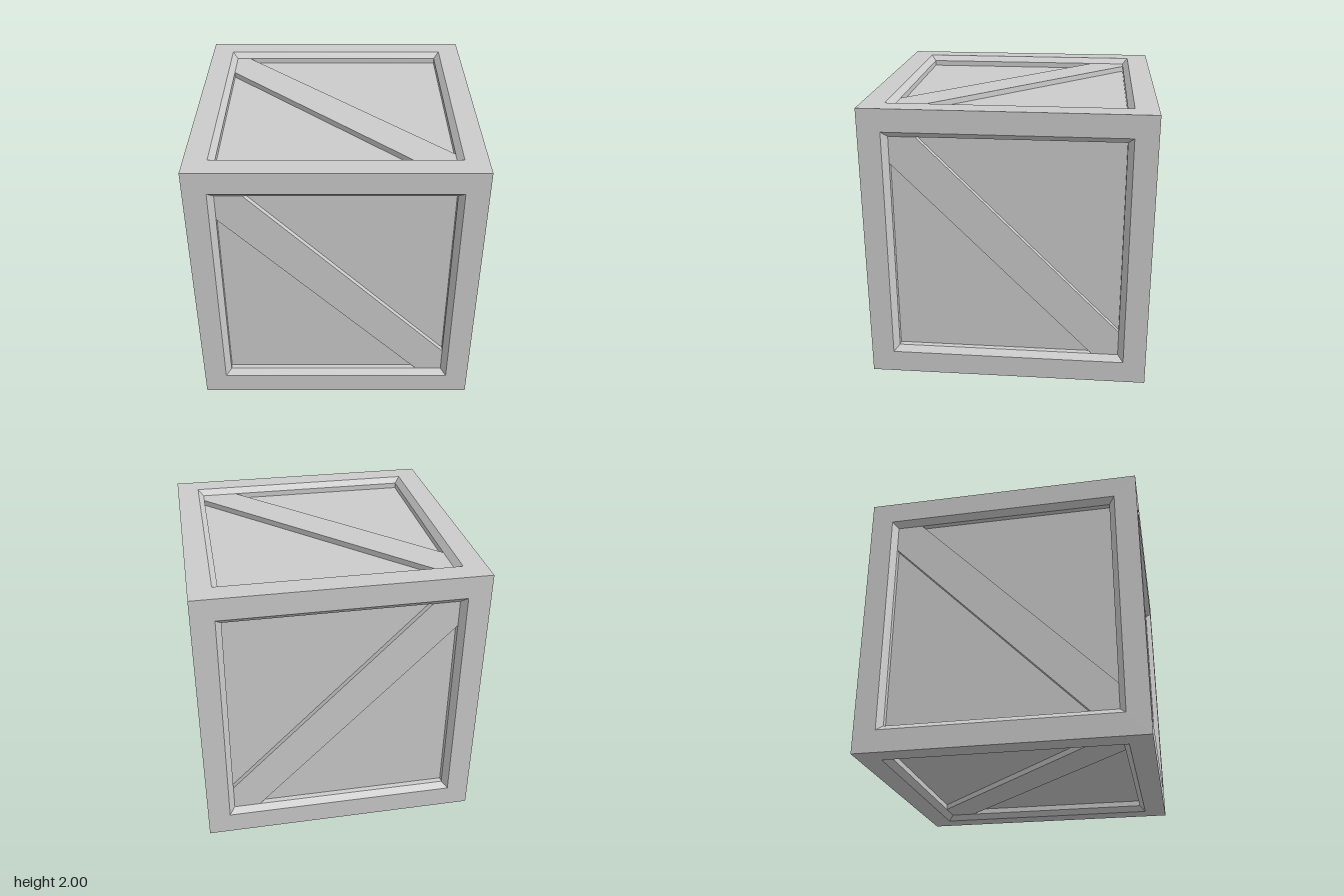
import * as THREE from 'three';

const material = new THREE.MeshStandardMaterial({ color: 0xcccccc, flatShading: true });
const INNER = 0.8;          // half width of the recessed panel
const PANEL = 0.92;         // panel distance from the crate centre
const BRACE = 0.96;         // brace surface distance from the crate centre

function namedMesh(name, geometry) {
  const mesh = new THREE.Mesh(geometry, material);
  mesh.name = name;
  return mesh;
}

// Square border with a chamfered inner lip, swept as a four-sided lathe
function frameGeometry() {
  const profile = [[1, 1], [0.84, 1], [INNER, BRACE], [INNER, PANEL]]
    .map(([half, height]) => new THREE.Vector2(half * Math.SQRT2, height));
  return new THREE.LatheGeometry(profile, 4, Math.PI / 4).rotateX(Math.PI / 2);
}

// Diagonal board from upper left to lower right, trimmed to the panel;
// upper and lower are how far its edges sit from the diagonal
function braceGeometry(upper, lower) {
  const s = INNER;
  const shape = new THREE.Shape([
    [-s, s], [-s, s - lower], [s - lower, -s],
    [s, -s], [s, -s + upper], [-s + upper, s],
  ].map(([x, y]) => new THREE.Vector2(x, y)));
  return new THREE.ExtrudeGeometry(shape, { depth: BRACE - PANEL, bevelEnabled: false })
    .translate(0, 0, PANEL);
}

export function createModel() {
  const crate = new THREE.Group();
  crate.name = 'crate';

  const frame = frameGeometry();
  const panel = new THREE.PlaneGeometry(2 * INNER, 2 * INNER).translate(0, 0, PANEL);
  const brace = braceGeometry(0.185, 0.19);
  const topBrace = braceGeometry(0.1, 0.26);
  const flippedBrace = brace.clone().rotateZ(Math.PI / 2);

  // Each side: name, turn about x, turn about y, brace
  const q = Math.PI / 2;
  const sides = [
    ['front', 0, 0, brace],
    ['left', 0, q, brace],
    ['back', 0, 2 * q, flippedBrace],
    ['right', 0, -q, brace],
    ['top', -q, 0, topBrace],
    ['bottom', q, 0, brace],
  ];
  for (const [name, rx, ry, braceShape] of sides) {
    const side = new THREE.Group();
    side.name = name + 'Side';
    side.add(
      namedMesh(name + 'Frame', frame),
      namedMesh(name + 'Panel', panel),
      namedMesh(name + 'Brace', braceShape),
    );
    side.rotation.set(rx, ry, 0);
    side.position.y = 1;
    crate.add(side);
  }
  return crate;
}
